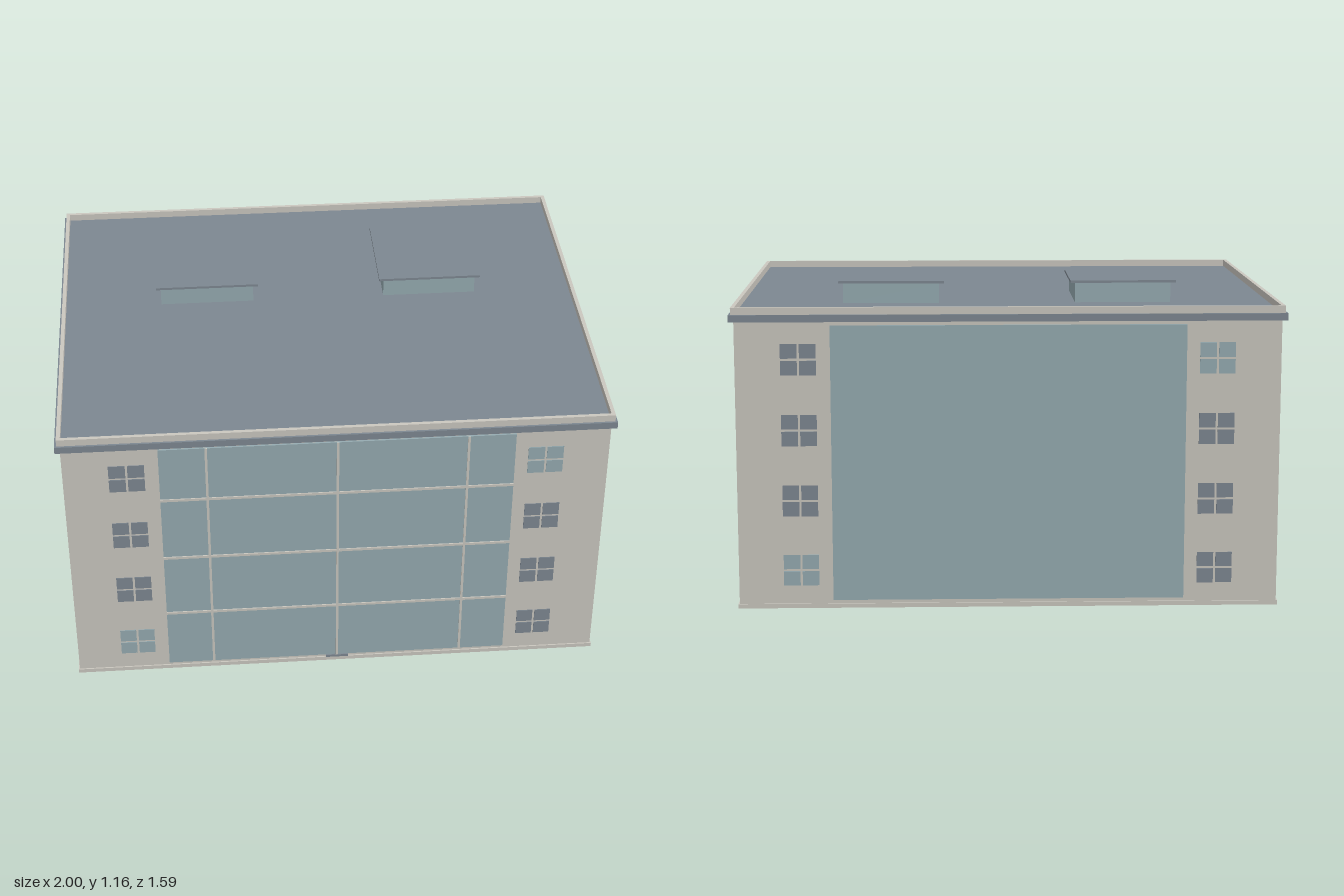
import * as THREE from 'three';
import { mergeGeometries } from 'three/addons/utils/BufferGeometryUtils.js';

const wall = new THREE.MeshStandardMaterial({ name: 'plaster', color: 0xcac7bf });
const glass = new THREE.MeshStandardMaterial({ name: 'pale glass', color: 0x95abb1 });
const slate = new THREE.MeshStandardMaterial({ name: 'slate', color: 0x7d8791 });

const ROWS = [0.142, 0.4, 0.659, 0.917]; // window centre heights, bottom to top

// box geometry from size and centre
function boxGeo(w, h, d, x, y, z) {
  return new THREE.BoxGeometry(w, h, d).translate(x, y, z);
}

function add(parent, name, geometry, material) {
  const mesh = new THREE.Mesh(geometry, material);
  mesh.name = name;
  parent.add(mesh);
  return mesh;
}

// four thin panes; the wall showing between them forms the cross bars
function paneGeos(u, y, z) {
  const panes = [];
  for (const sx of [-1, 1]) {
    for (const sy of [-1, 1]) {
      panes.push(boxGeo(0.06, 0.053, 0.004, u + sx * 0.034, y + sy * 0.0305, z));
    }
  }
  return panes;
}

// facade of windows facing +z; pale lists the "column,row" of pale windows
function windowGrid(name, columns, z, pale) {
  const group = new THREE.Group();
  group.name = name;
  const dark = [], light = [];
  columns.forEach((u, c) => ROWS.forEach((y, r) => {
    (pale.includes(`${c},${r}`) ? light : dark).push(...paneGeos(u, y, z));
  }));
  add(group, 'darkWindows', mergeGeometries(dark), slate);
  add(group, 'paleWindows', mergeGeometries(light), glass);
  return group;
}

// large glazed panel between the window columns
function glazing(parent, name) {
  add(parent, name, boxGeo(1.28, 1.01, 0.012, 0, 0.535, 0.779), glass);
}

export function createModel() {
  const model = new THREE.Group();
  model.name = 'officeBuilding';

  // body, plinth and roof slab
  add(model, 'walls', boxGeo(1.964, 1.04, 1.556, 0, 0.535, 0), wall);
  add(model, 'plinth', boxGeo(1.974, 0.016, 1.566, 0, 0.008, 0), wall);
  add(model, 'roofSlab', boxGeo(2, 0.026, 1.592, 0, 1.067, 0), slate);

  // parapet round the roof edge
  const parapet = [];
  for (const s of [-1, 1]) {
    parapet.push(boxGeo(1.984, 0.026, 0.014, 0, 1.093, s * 0.781));
    parapet.push(boxGeo(0.014, 0.026, 1.548, s * 0.985, 1.093, 0));
  }
  add(model, 'parapet', mergeGeometries(parapet), wall);

  // two opposite halves, the second turned by half a turn
  for (const [half, turn] of [['front', 0], ['back', Math.PI]]) {
    const side = new THREE.Group();
    side.name = `${half}Half`;
    side.rotation.y = turn;
    glazing(side, `${half}Glazing`);
    side.add(windowGrid(`${half}Windows`, [-0.755, 0.752], 0.779, ['0,0', '1,3']));
    const end = windowGrid(`${half}EndWindows`, [-0.57, -0.285, 0, 0.285, 0.57], 0.983,
      ['1,3', '2,2', '3,1', '0,0', '4,0']);
    end.rotation.y = Math.PI / 2;
    side.add(end);
    model.add(side);
  }

  // mullions on the front glazing
  const bars = [];
  for (const x of [-0.47, 0, 0.47]) bars.push(boxGeo(0.009, 1.01, 0.006, x, 0.535, 0.786));
  for (const y of [0.28, 0.547, 0.815]) bars.push(boxGeo(1.28, 0.01, 0.006, 0, y, 0.786));
  add(model, 'mullions', mergeGeometries(bars), wall);

  // door sill
  add(model, 'doorSill', boxGeo(0.084, 0.01, 0.014, 0, 0.026, 0.783), slate);

  // roof skylights with overhanging lids
  for (const [name, x] of [['right', -0.434], ['left', 0.428]]) {
    add(model, `${name}Skylight`, boxGeo(0.356, 0.077, 0.356, x, 1.1165, -0.285), glass);
    add(model, `${name}SkylightLid`, boxGeo(0.392, 0.009, 0.388, x, 1.159, -0.285), slate);
  }
  return model;
}
